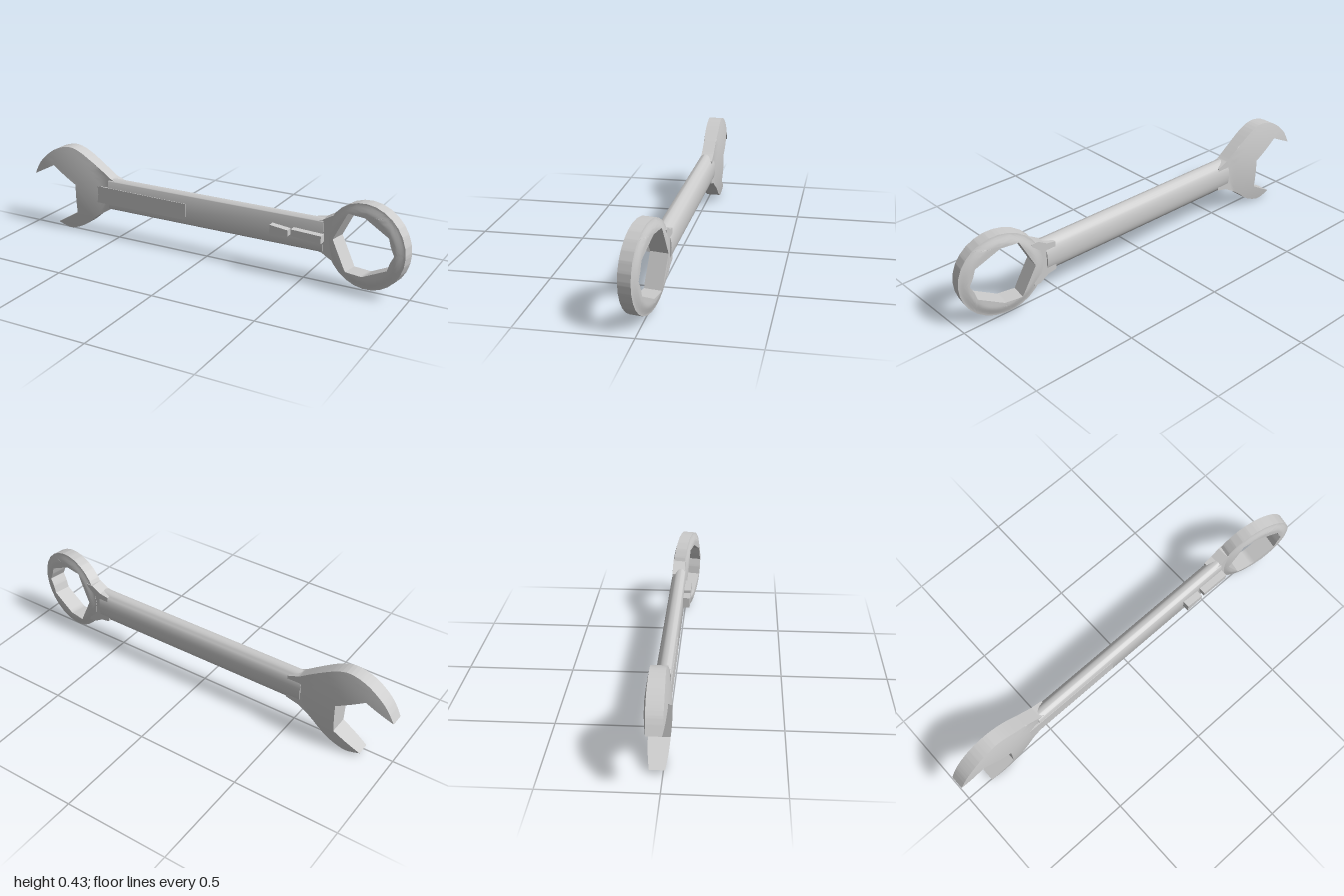
import * as THREE from 'three';
import { toCreasedNormals } from 'three/addons/utils/BufferGeometryUtils.js';

const MID_Y = 0.22;
const V = (pts) => pts.map(([x, y]) => new THREE.Vector2(x, y));

// Splits every triangle into four, `times` times over
function subdivide(geometry, times) {
  let pos = Array.from(geometry.toNonIndexed().attributes.position.array);
  for (let t = 0; t < times; t++) {
    const out = [];
    for (let i = 0; i < pos.length; i += 9) {
      const [a, b, c] = [0, 3, 6].map((k) => pos.slice(i + k, i + k + 3));
      const mid = (p, q) => p.map((v, k) => (v + q[k]) / 2);
      const ab = mid(a, b), bc = mid(b, c), ca = mid(c, a);
      out.push(...a, ...ab, ...ca, ...ab, ...b, ...bc, ...ca, ...bc, ...c, ...ab, ...bc, ...ca);
    }
    pos = out;
  }
  const g = new THREE.BufferGeometry();
  g.setAttribute('position', new THREE.Float32BufferAttribute(pos, 3));
  return g;
}

// Flat plate whose half thickness follows a rule of x and y
function domedPlate(shape, halfThickness, curveSegments) {
  const flat = new THREE.ExtrudeGeometry(shape, { depth: 2, bevelEnabled: false, curveSegments });
  const g = subdivide(flat.translate(0, 0, -1), 3);
  const p = g.attributes.position;
  for (let i = 0; i < p.count; i++) {
    p.setZ(i, p.getZ(i) * halfThickness(p.getX(i), p.getY(i)));
  }
  return toCreasedNormals(g, 0.5);
}

function block(points, depth) {
  return new THREE.ExtrudeGeometry(new THREE.Shape(V(points)), { depth, bevelEnabled: false });
}

export function createModel() {
  const model = new THREE.Group();
  const steel = new THREE.MeshStandardMaterial({ color: 0xcccccc });
  const add = (name, geometry, x = 0, y = 0, z = 0) => {
    const mesh = new THREE.Mesh(geometry, steel);
    mesh.name = name;
    mesh.position.set(x, y, z);
    model.add(mesh);
    return mesh;
  };

  // Open jaw: curved outside, angular mouth, thickest at its centre
  const jaw = new THREE.Shape();
  jaw.moveTo(-1, 0.26);
  jaw.splineThru(V([[-0.955, 0.335], [-0.875, 0.402], [-0.79, 0.43], [-0.72, 0.417], [-0.63, 0.365], [-0.54, 0.303]]));
  jaw.lineTo(-0.48, 0.28);
  jaw.lineTo(-0.48, 0.16);
  jaw.lineTo(-0.54, 0.145);
  jaw.splineThru(V([[-0.62, 0.096], [-0.69, 0.04], [-0.755, 0.009], [-0.8, 0.001], [-0.865, 0.02]]));
  jaw.lineTo(-0.735, 0.096);
  jaw.lineTo(-0.735, 0.246);
  jaw.lineTo(-0.87, 0.326);
  const jawHalf = (x, y) => {
    const r = Math.hypot(x + 0.79, y - MID_Y) / 0.22;
    return 0.031 + 0.025 * Math.max(0, 1 - r * r);
  };
  add('openJaw', domedPlate(jaw, jawHalf, 3), 0, 0, -0.024);

  // Handle: flat front, rounded edges and a gently bowed back
  const section = new THREE.Shape();
  section.moveTo(-0.012, MID_Y - 0.064);
  section.quadraticCurveTo(-0.008, MID_Y - 0.08, 0.012, MID_Y - 0.08);
  section.bezierCurveTo(0.04, MID_Y - 0.08, 0.062, MID_Y - 0.055, 0.062, MID_Y);
  section.bezierCurveTo(0.062, MID_Y + 0.055, 0.04, MID_Y + 0.08, 0.012, MID_Y + 0.08);
  section.quadraticCurveTo(-0.008, MID_Y + 0.08, -0.012, MID_Y + 0.064);
  const bar = new THREE.ExtrudeGeometry(section, { depth: 1.14, bevelEnabled: false, curveSegments: 8 });
  bar.rotateY(Math.PI / 2);
  add('handle', toCreasedNormals(bar, 0.6), -0.55);

  // Shallow step along the front of the handle
  add('frontStep', block([[-0.64, 0.256], [-0.64, 0.17], [-0.11, 0.17], [-0.11, 0.25]], 0.01), 0, 0, 0.005);

  // Raised marks near the ring
  add('smallMark', block([[0.345, 0.192], [0.435, 0.202], [0.435, 0.232], [0.345, 0.242]], 0.045));
  add('longMark', block([[0.45, 0.208], [0.595, 0.197], [0.595, 0.234], [0.45, 0.24]], 0.045));

  // Flared neck joining the handle to the ring
  const neck = block([[0.54, 0.15], [0.585, 0.142], [0.63, 0.115], [0.665, 0.115],
    [0.64, MID_Y], [0.665, 0.325], [0.63, 0.325], [0.585, 0.298], [0.54, 0.29]], 0.062);
  add('neck', neck, 0, 0, -0.055);

  // Tilted ring with an angular, stepped hole
  const ring = new THREE.Shape();
  ring.absarc(0, 0, 0.197, 0, Math.PI * 2);
  const upper = [[-0.155, 0], [-0.085, 0.137], [0, 0.137], [0.12, 0.075], [0.132, 0.036], [0.15, 0]];
  const lower = upper.slice(1, -1).reverse().map(([x, y]) => [x, -y]);
  ring.holes.push(new THREE.Path(V([...upper, ...lower])));
  const ringHalf = (x, y) => 0.041 - 0.013 * THREE.MathUtils.smoothstep(Math.hypot(x, y), 0.15, 0.2);
  const ringMesh = add('ring', domedPlate(ring, ringHalf, 14), 0.8, MID_Y, 0.006);
  ringMesh.rotation.y = -0.18;

  return model;
}
